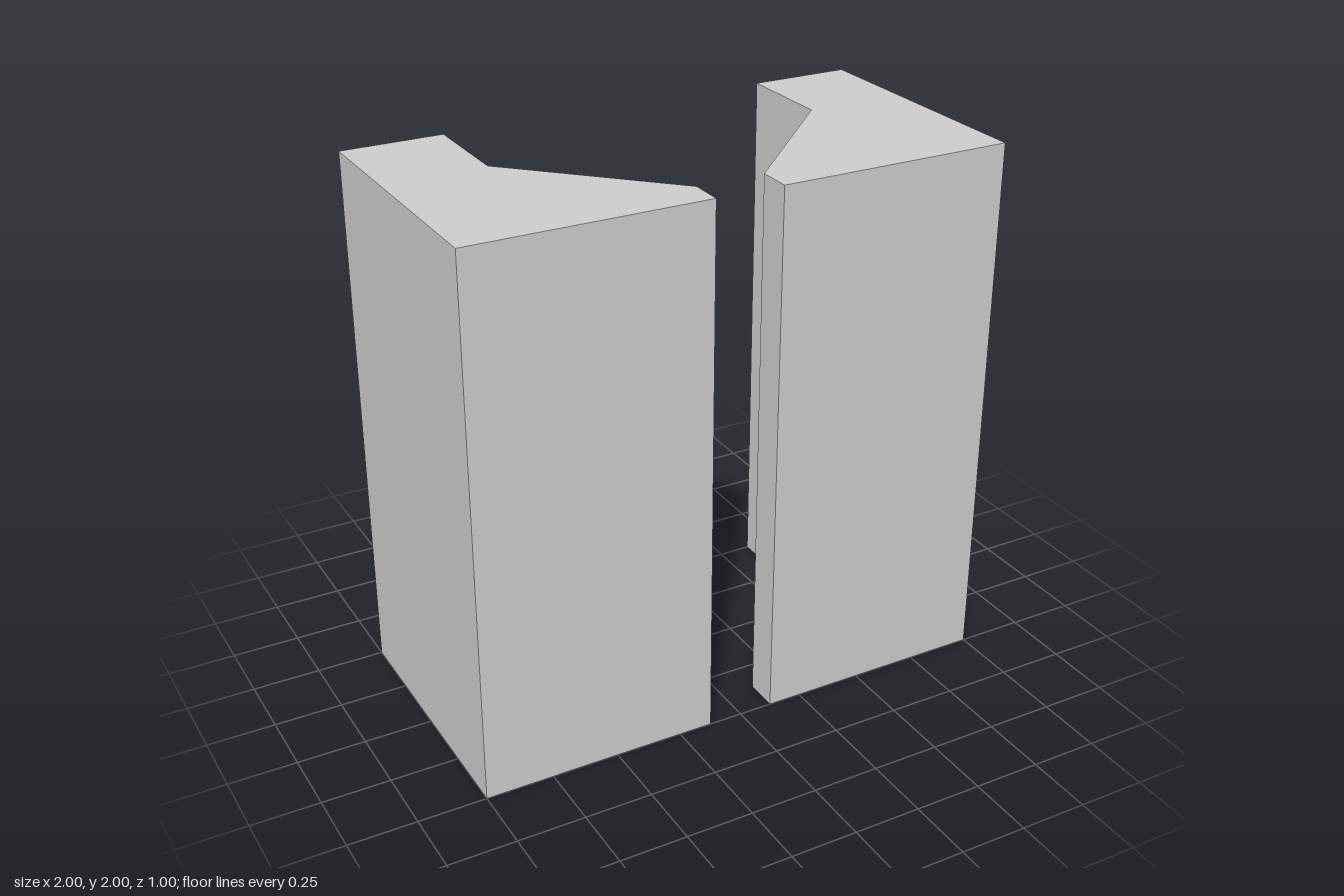
import * as THREE from 'three';

const HEIGHT = 2;

// Floor plan of the left pillar as [x, z] corners
const PLAN = [
  [1, -0.5], [1, 0.5], [0.125, 0.5],
  [0.125, 0.375], [0.625, -0.125], [0.625, -0.5],
];

// Extrudes the plan upwards; side = 1 for left, -1 for the mirrored right
function makePillar(name, side, material) {
  const shape = new THREE.Shape(PLAN.map(([x, z]) => new THREE.Vector2(side * x, -z)));
  const geometry = new THREE.ExtrudeGeometry(shape, { depth: HEIGHT, bevelEnabled: false });
  geometry.rotateX(-Math.PI / 2);
  const pillar = new THREE.Mesh(geometry, material);
  pillar.name = name;
  return pillar;
}

export function createModel() {
  const model = new THREE.Group();
  model.name = 'splitPillars';
  const material = new THREE.MeshStandardMaterial({ color: 0xcccccc, flatShading: true });
  model.add(makePillar('leftPillar', 1, material), makePillar('rightPillar', -1, material));
  return model;
}
